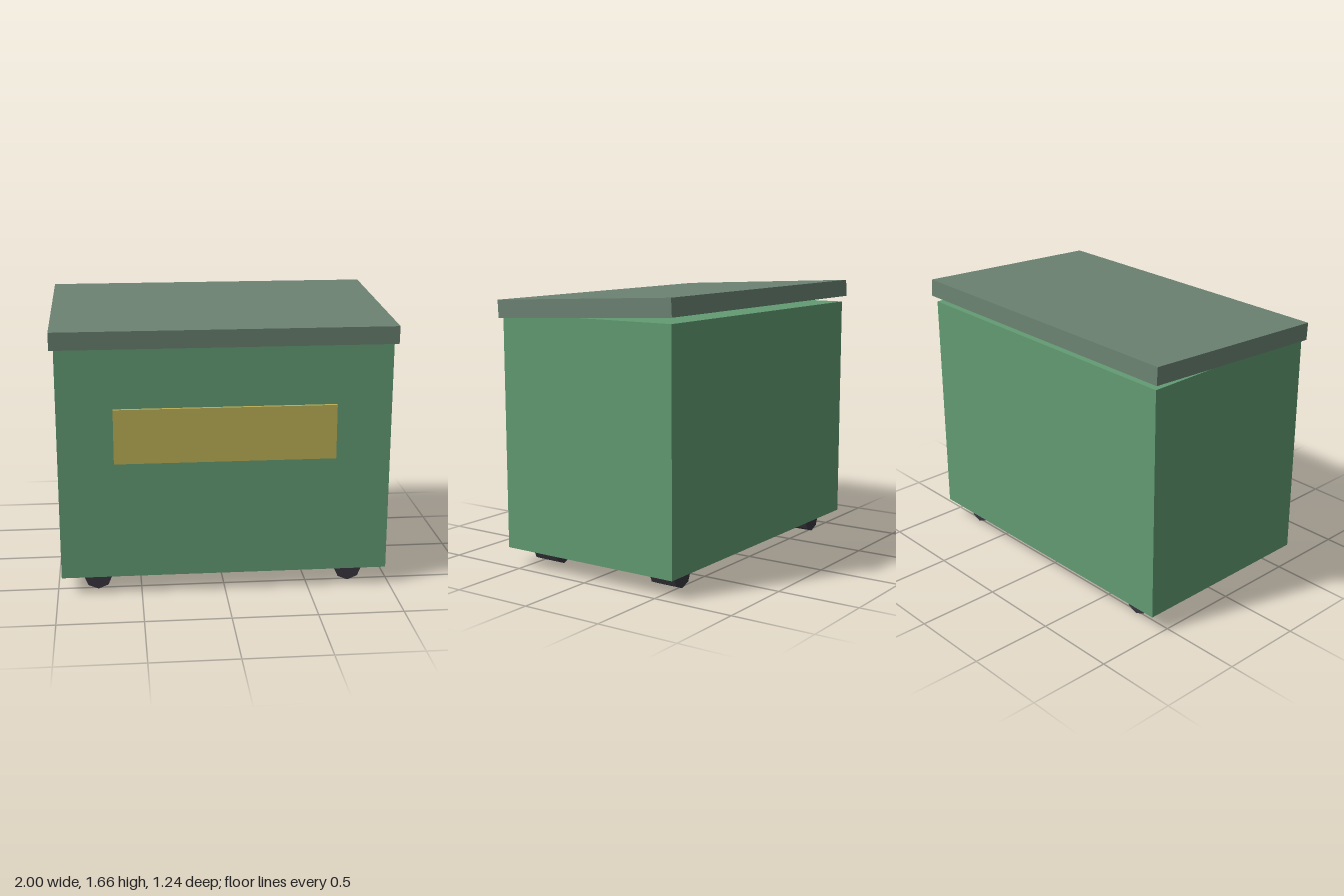
import * as THREE from 'three';

function material(name, color) {
  const m = new THREE.MeshStandardMaterial({ color });
  m.name = name;
  return m;
}

export function createModel() {
  const model = new THREE.Group();
  model.name = 'wheeledBin';

  const green = material('green', 0x629b73);
  const greyGreen = material('greyGreen', 0x6b8272);
  const mustard = material('mustard', 0xbbae55);
  const charcoal = material('charcoal', 0x38363e);

  function add(name, geometry, mat, x, y, z) {
    const mesh = new THREE.Mesh(geometry, mat);
    mesh.name = name;
    mesh.position.set(x, y, z);
    model.add(mesh);
    return mesh;
  }

  // Main box
  add('body', new THREE.BoxGeometry(1.95, 1.41, 1.2), green, 0, 0.815, 0);

  // Lid, tilted slightly up at the back
  const lid = add('lid', new THREE.BoxGeometry(2, 0.105, 1.236), greyGreen, 0, 1.578, 0);
  lid.rotation.x = 0.05;

  // Plate on the front
  add('frontPlate', new THREE.BoxGeometry(1.3, 0.325, 0.03), mustard, 0, 0.98, 0.605);

  // Four eight-sided wheels, axles along z, partly sunk into the body
  const wheel = new THREE.CylinderGeometry(0.085, 0.085, 0.17, 8).rotateX(Math.PI / 2).toNonIndexed();
  wheel.computeVertexNormals();
  for (const sx of [1, -1]) {
    for (const sz of [1, -1]) {
      const name = (sz > 0 ? 'front' : 'back') + (sx > 0 ? 'Left' : 'Right') + 'Wheel';
      add(name, wheel, charcoal, sx * 0.76, 0.085, sz * 0.435);
    }
  }

  return model;
}
